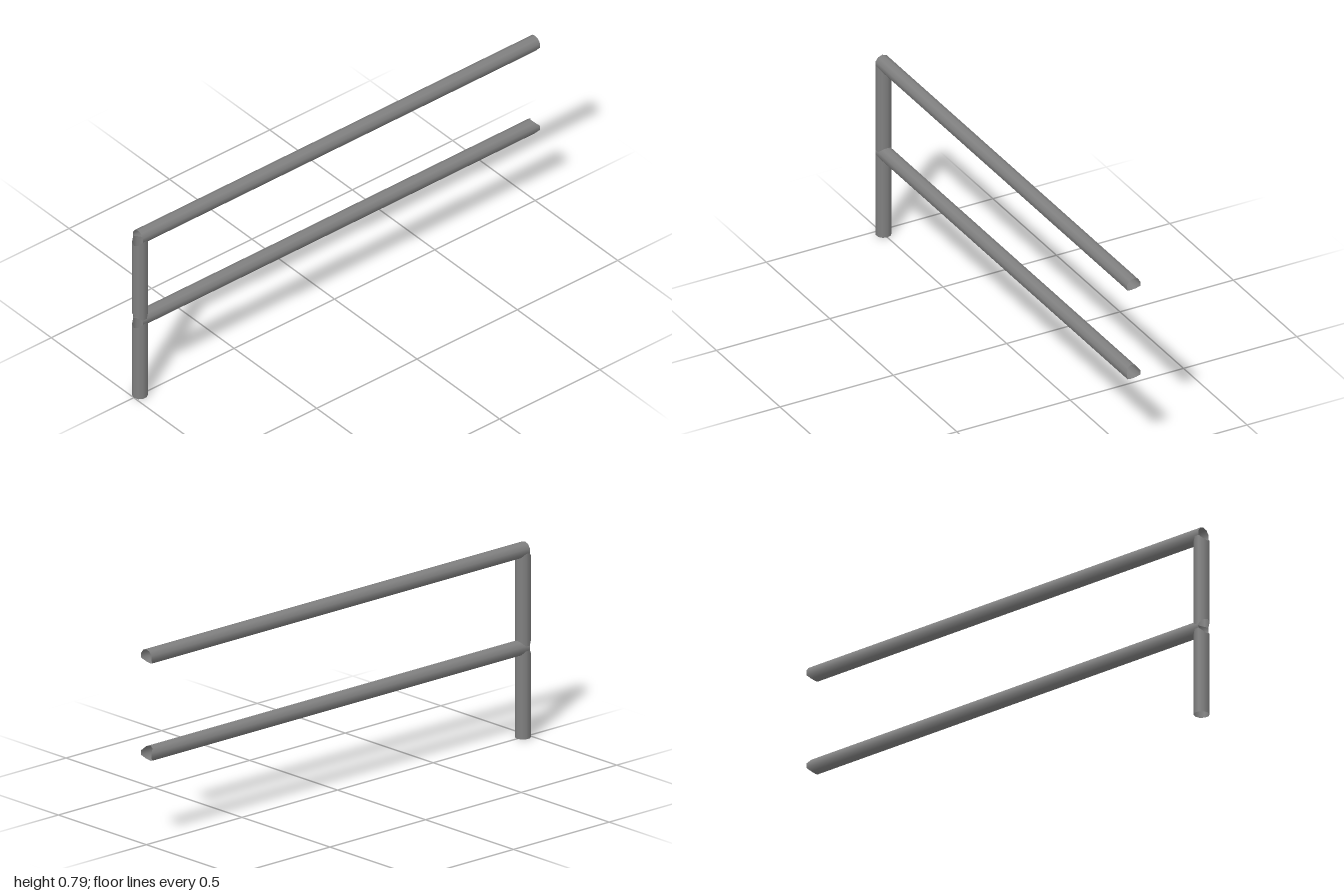
import * as THREE from 'three';

const R = 0.031;                                  // pipe radius
const SIDES = 10;
const FLAT = R * Math.sin(Math.PI / SIDES);       // half width of a side facet
const POST_X = -1 + R;                            // axis of the post
const NEXT_X = 1 + FLAT;                          // axis of the next post in the run
const MID_Y = 0.366, TOP_Y = 0.76;                // rail heights
const steel = new THREE.MeshStandardMaterial({ color: 0x808080, side: THREE.DoubleSide });

// Open pipe along y; the functions give the end heights from the cross coordinate u
function pipe(name, start, end, alongX = false) {
  const geo = new THREE.CylinderGeometry(R, R, 1, SIDES, 1, true, Math.PI / 2);
  const pos = geo.attributes.position;
  for (let i = 0; i < pos.count; i++) {
    const u = alongX ? -pos.getX(i) : pos.getX(i);
    pos.setY(i, pos.getY(i) > 0 ? end(u) : start(u));
  }
  if (alongX) geo.rotateZ(-Math.PI / 2);
  const mesh = new THREE.Mesh(geo, steel);
  mesh.name = name;
  return mesh;
}

// Rail with saddle-cut ends; cut(u) is how far the end stands off the post axis
function rail(name, y, cut) {
  const left = (u) => {
    const c = cut(u);
    return POST_X + (c < FLAT + 0.001 ? -FLAT : c);
  };
  const mesh = pipe(name, left, (u) => NEXT_X - cut(u), true);
  mesh.position.y = y;
  return mesh;
}

export function createModel() {
  const group = new THREE.Group();
  group.name = 'railing';

  // Post in two lengths, notched around the rails
  const lower = pipe('lowerPost', () => 0, (u) => MID_Y - Math.abs(u));
  const upper = pipe('upperPost', (u) => MID_Y + Math.abs(u), (u) => TOP_Y - Math.abs(u));
  lower.position.x = upper.position.x = POST_X;

  // Middle rail is mitred above and below, top rail only below
  group.add(
    lower,
    upper,
    rail('middleRail', MID_Y, (u) => Math.abs(u)),
    rail('topRail', TOP_Y, (u) => Math.max(-u, FLAT)),
  );
  return group;
}
